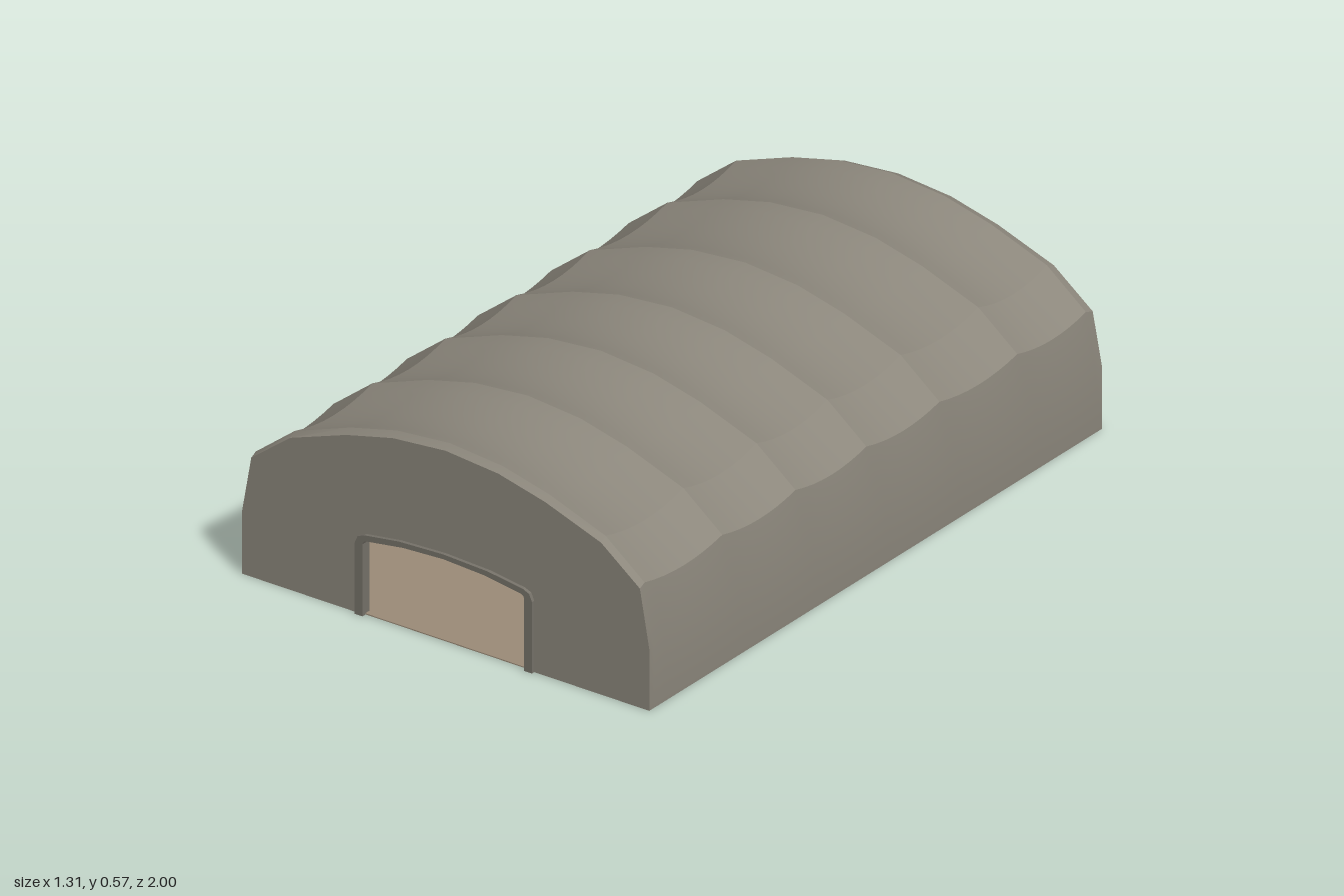
import * as THREE from 'three';
import { toCreasedNormals } from 'three/addons/utils/BufferGeometryUtils.js';

// Half of the tent's cross-section, from the ground to the ridge: x, y, depth of sag
const HALF = [
  [0.655, 0, 0], [0.655, 0.18, 0], [0.625, 0.35, 0.02], [0.5, 0.448, 0.024],
  [0.32, 0.513, 0.027], [0.17, 0.55, 0.028], [0, 0.565, 0.028],
];
const PROFILE = [...HALF, ...HALF.slice(0, -1).reverse().map(([x, y, s]) => [-x, y, s])];
const RIBS = [0.97, 0.63, 0.31, 0, -0.32, -0.66, -0.96];
const END = 0.99;

const material = (color) => new THREE.MeshStandardMaterial({ color, side: THREE.DoubleSide });
const fabric = material(0x8c877c);
const trim = material(0x77736a);
const pole = material(0x3a3835);
const ground = material(0x9c8b78);

function mesh(name, geometry, mat) {
  const m = new THREE.Mesh(geometry, mat);
  m.name = name;
  return m;
}

// Cross-section at z; sag runs from 0 at a rib to 1 midway between ribs
function section(z, sag) {
  return PROFILE.map(([x, y, s]) =>
    new THREE.Vector3(x, y - s * sag + (s ? 0.007 * z : 0), z));
}

// Fabric cover: cross-sections that hang in a shallow curve between the ribs
function cover() {
  const rows = [section(END, 0.5)];
  const steps = 8;
  for (let r = 0; r < RIBS.length - 1; r++) {
    for (let k = 0; k < steps; k++) {
      const t = k / steps;
      rows.push(section(THREE.MathUtils.lerp(RIBS[r], RIBS[r + 1], t), 4 * t * (1 - t)));
    }
  }
  rows.push(section(RIBS[RIBS.length - 1], 0), section(-END, 0.5));
  const n = PROFILE.length;
  const index = [];
  for (let j = 0; j < rows.length - 1; j++) {
    for (let i = 0; i < n - 1; i++) {
      const a = j * n + i, b = a + 1, c = a + n, d = c + 1;
      index.push(a, c, b, b, c, d);
    }
  }
  const g = new THREE.BufferGeometry().setFromPoints(rows.flat());
  g.setIndex(index);
  return toCreasedNormals(g, 0.3);
}

// Doorway outline from the left foot over the top to the right foot
function doorPath(half, side, top, r) {
  const p = [[half, 0], [half, side - r], [half - r * 0.3, side - r * 0.3], [half - r, side],
    [half * 0.5, side + (top - side) * 0.72], [0, top]];
  const mirrored = p.slice(0, -1).reverse().map(([x, y]) => [-x, y]);
  return [...p, ...mirrored].map(([x, y]) => new THREE.Vector2(x, y));
}

// End wall with its doorway and raised door surround
function endWall(name, side) {
  const group = new THREE.Group();
  group.name = name;
  const outer = section(END * side, 0.5).map((p) => new THREE.Vector2(p.x, p.y));
  const wall = new THREE.ShapeGeometry(
    new THREE.Shape([...outer, ...doorPath(0.27, 0.228, 0.252, 0.02).reverse()]));
  wall.translate(0, 0, END);
  group.add(mesh('endPanel', wall, fabric));

  const frame = new THREE.Shape([
    ...doorPath(0.285, 0.238, 0.26, 0.03),
    ...doorPath(0.26, 0.222, 0.246, 0.012).reverse(),
  ]);
  const surround = new THREE.ExtrudeGeometry(frame, { depth: 0.03, bevelEnabled: false });
  surround.translate(0, 0, 0.97);
  group.add(mesh('doorSurround', surround, trim));
  if (side < 0) group.rotation.y = Math.PI;
  return group;
}

// Round bar between two points
function bar(name, a, b, radius) {
  const dir = b.clone().sub(a);
  const m = mesh(name, new THREE.CylinderGeometry(radius, radius, dir.length(), 6), pole);
  m.position.copy(a).add(b).multiplyScalar(0.5);
  m.quaternion.setFromUnitVectors(new THREE.Vector3(0, 1, 0), dir.normalize());
  return m;
}

// Inner frame: an arch under every rib, with bars running lengthwise
function innerFrame() {
  const group = new THREE.Group();
  group.name = 'innerFrame';
  for (const z of RIBS) {
    const pts = section(z, 0).map((p) =>
      new THREE.Vector3(p.x * 0.968, p.y > 0 ? p.y - 0.016 : 0, z));
    const arch = new THREE.Group();
    arch.name = 'arch';
    for (let i = 0; i < pts.length - 1; i++) arch.add(bar('archPole', pts[i], pts[i + 1], 0.009));
    // Feet showing under the ground sheet
    for (const x of [-0.634, 0.634]) {
      const foot = mesh('foot', new THREE.CylinderGeometry(0.011, 0.011, 0.006, 8), pole);
      foot.position.set(x, 0.003, z);
      arch.add(foot);
    }
    group.add(arch);
  }
  for (const [x, y] of [[0.59, 0.3], [0.31, 0.465], [0, 0.515], [-0.31, 0.465], [-0.59, 0.3]]) {
    group.add(bar('lengthwisePole',
      new THREE.Vector3(x, y, RIBS[0]), new THREE.Vector3(x, y, RIBS[RIBS.length - 1]), 0.008));
  }
  return group;
}

export function createModel() {
  const model = new THREE.Group();
  model.name = 'archedTent';
  model.add(mesh('cover', cover(), fabric));
  model.add(endWall('frontWall', 1), endWall('backWall', -1));
  model.add(innerFrame());

  const floor = mesh('groundSheet', new THREE.BoxGeometry(1.305, 0.003, 1.975), ground);
  floor.position.y = 0.0025;
  model.add(floor);
  return model;
}
